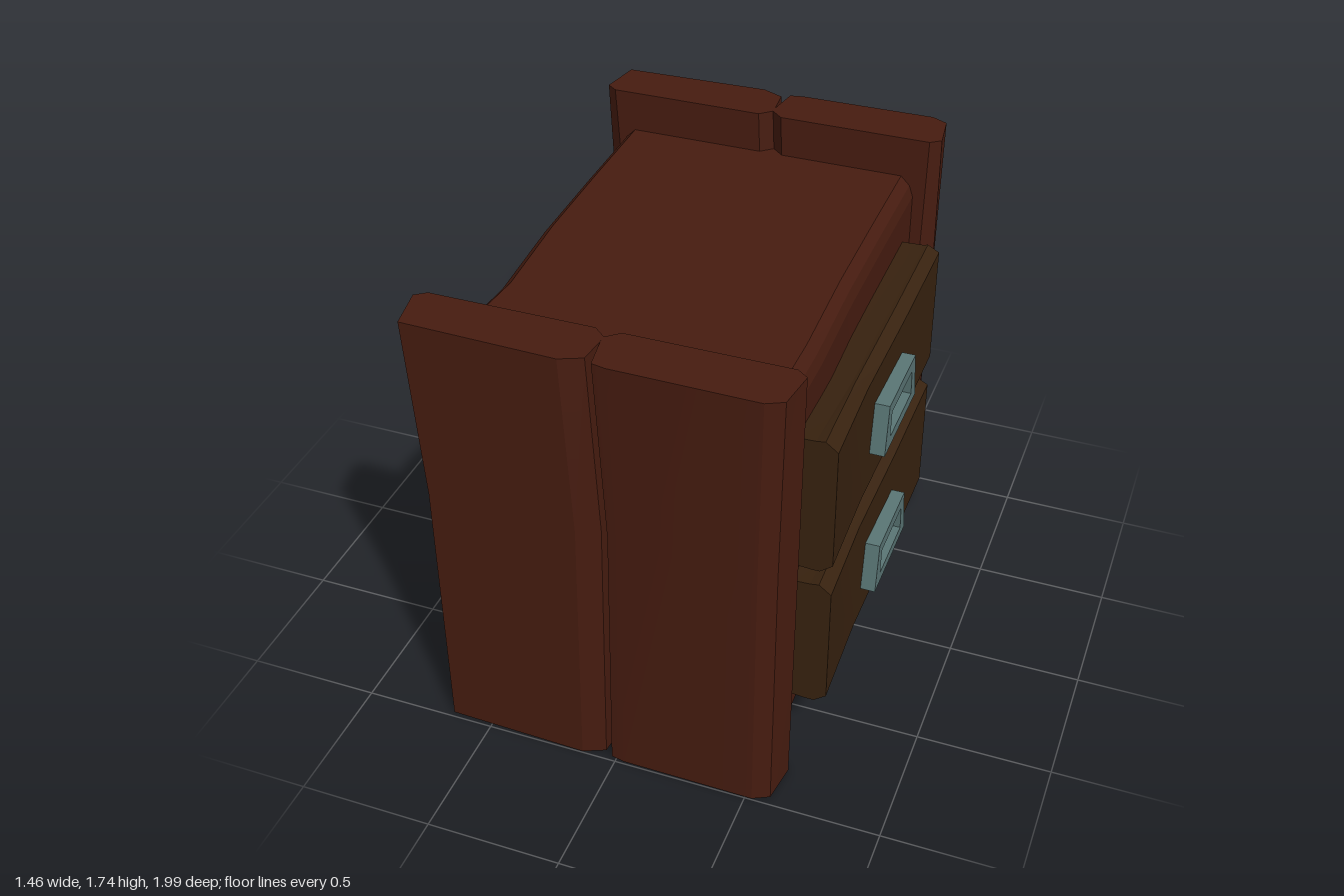
import * as THREE from 'three';
import { toCreasedNormals } from 'three/addons/utils/BufferGeometryUtils.js';

const wood = new THREE.MeshStandardMaterial({ color: 0x471c10 });
const drawerWood = new THREE.MeshStandardMaterial({ color: 0x38220f });
const metal = new THREE.MeshStandardMaterial({ color: 0x5a7675 });

// Closed solid through equal-length convex rings, counter-clockwise about the loft direction
function loft(rings) {
  const n = rings[0].length, index = [], last = (rings.length - 1) * n;
  for (let k = 0; k < rings.length - 1; k++) {
    for (let i = 0; i < n; i++) {
      const a = k * n + i, b = k * n + (i + 1) % n;
      index.push(a, b, b + n, a, b + n, a + n);
    }
  }
  for (let i = 1; i < n - 1; i++) {
    index.push(0, i + 1, i, last, last + i, last + i + 1);
  }
  const geo = new THREE.BufferGeometry();
  geo.setAttribute('position', new THREE.Float32BufferAttribute(rings.flat(2), 3));
  geo.setIndex(index);
  return toCreasedNormals(geo, 0.3);
}

function part(name, geo, material) {
  const mesh = new THREE.Mesh(geo, material);
  mesh.name = name;
  return mesh;
}

// Plank levels: height, outer left, left bevel, groove, right bevel, outer right, inner z shift
const levels = [
  [0, -0.69, -0.66, -0.04, 0.585, 0.605, 0],
  [1.05, -0.715, -0.66, -0.02, 0.59, 0.62, 0.02],
  [1.74, -0.73, -0.70, -0.05, 0.60, 0.62, 0],
];

function plank(isLeft, side) {
  return loft(levels.map(([y, l, lb, g, rb, r, dz]) => {
    const section = isLeft
      ? [[l, 0.82 + dz], [lb, 0.98], [g - 0.09, 0.995], [g - 0.01, 0.96],
         [g, 0.85], [g, 0.83], [g - 0.045, 0.79], [lb + 0.01, 0.79]]
      : [[g, 0.83], [g, 0.86], [g + 0.02, 0.98], [g + 0.07, 0.99], [rb - 0.06, 0.995],
         [rb, 0.965], [r, 0.82 + dz], [rb - 0.02, 0.79], [g + 0.045, 0.79]];
    const ring = section.map(([x, z]) => [x, y, z * side]);
    return side > 0 ? ring : ring.reverse();
  }));
}

// Bevelled cabinet body: z, back x, front x, bottom, top, lower bevel
function body() {
  return loft([
    [-0.84, -0.66, 0.53, 0.055, 1.58, 0.03],
    [-0.4, -0.66, 0.53, 0.055, 1.58, 0.03],
    [0, -0.66, 0.53, 0.065, 1.575, 0.04],
    [0.4, -0.64, 0.54, 0.06, 1.57, 0.06],
    [0.84, -0.66, 0.545, 0.045, 1.59, 0.03],
  ].map(([z, l, r, b, t, c]) => [
    [l + 0.05, b, z], [r - 0.05, b, z], [r, b + c, z], [r, t - 0.08, z], [r - 0.015, t - 0.035, z],
    [r - 0.05, t, z], [l + 0.05, t, z], [l + 0.015, t - 0.035, z], [l, t - 0.08, z], [l, b + c, z],
  ]));
}

// Warped drawer front: z, face x, bottom, top, bevel
function drawerFront() {
  return loft([
    [-0.68, 0.675, 0.845, 1.37, 0.025],
    [-0.2, 0.675, 0.835, 1.365, 0.025],
    [0.25, 0.668, 0.825, 1.35, 0.02],
    [0.66, 0.687, 0.832, 1.385, 0.035],
  ].map(([z, x, b, t, c]) => [
    [0.48, b + 0.01, z], [0.61, b, z], [x - 0.045, b, z], [x, b + c, z],
    [x, t - c, z], [x - 0.045, t, z], [0.61, t - 0.005, z], [0.48, t - 0.01, z],
  ]));
}

// Trapezoid pull with a window through it
function handle() {
  const pts = (list) => list.map(([x, y]) => new THREE.Vector2(x, y));
  const shape = new THREE.Shape(pts([[-0.18, 1.0], [0.23, 1.0], [0.19, 1.2], [-0.15, 1.2]]));
  shape.holes.push(new THREE.Path(pts([[-0.115, 1.045], [-0.11, 1.15], [0.155, 1.15], [0.165, 1.045]])));
  return new THREE.ExtrudeGeometry(shape, { depth: 0.065, bevelEnabled: false })
    .rotateY(Math.PI / 2).translate(0.66, 0, 0);
}

export function createModel() {
  const model = new THREE.Group();
  model.name = 'nightstand';
  model.add(part('cabinetBody', body(), wood));

  // Two-plank end panels
  for (const [name, side] of [['frontPanel', 1], ['backPanel', -1]]) {
    const panel = new THREE.Group();
    panel.name = name;
    panel.add(part('leftPlank', plank(false, side), wood), part('rightPlank', plank(true, side), wood));
    model.add(panel);
  }

  // Two drawers with pulls
  for (const [name, drop, pullDrop] of [['upperDrawer', 0, 0], ['lowerDrawer', 0.615, 0.64]]) {
    const drawer = new THREE.Group();
    drawer.name = name;
    const front = part('drawerFront', drawerFront(), drawerWood);
    front.position.y = -drop;
    const pull = part('drawerHandle', handle(), metal);
    pull.position.y = -pullDrop;
    drawer.add(front, pull);
    model.add(drawer);
  }
  return model;
}
